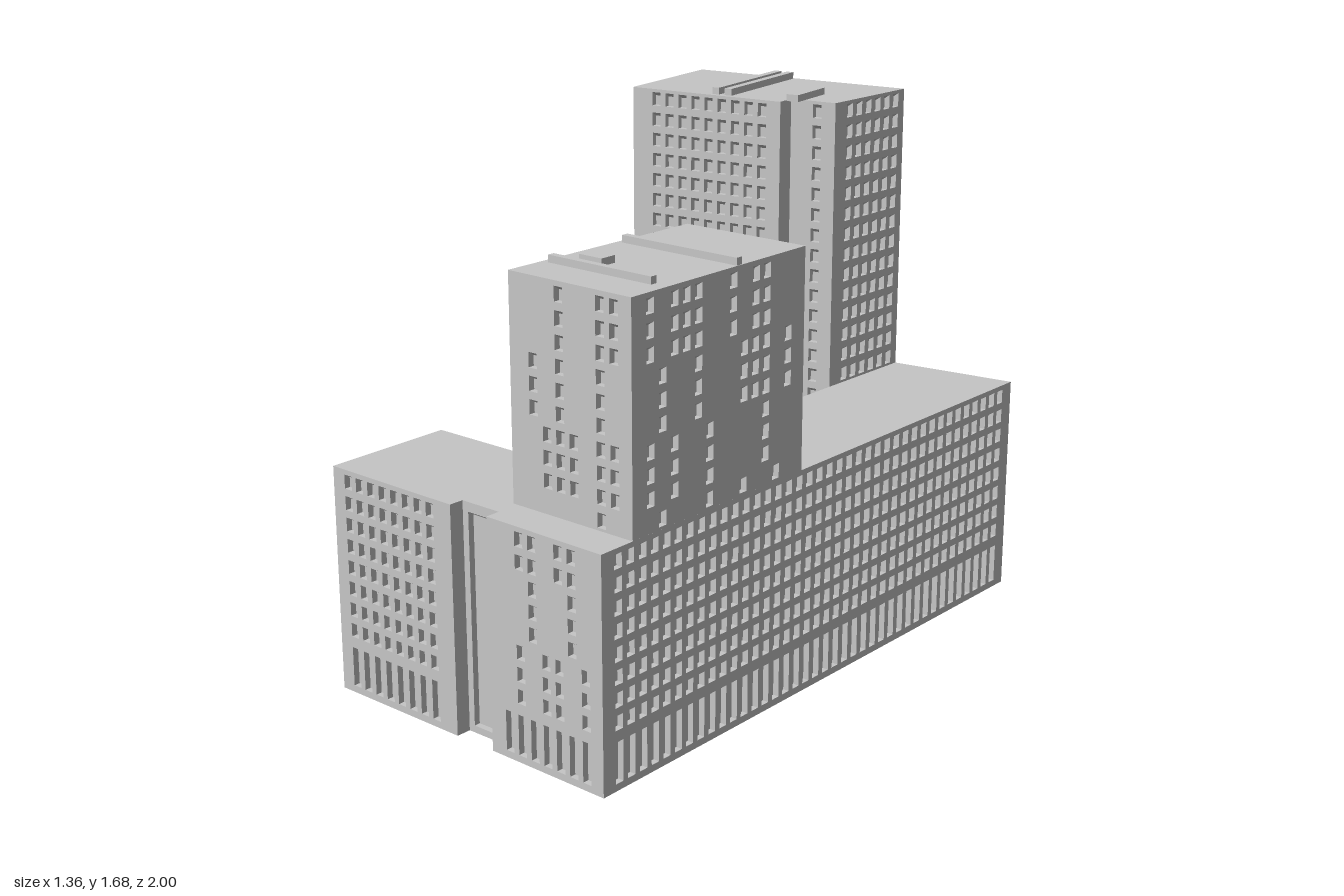
import * as THREE from 'three';

const concrete = new THREE.MeshStandardMaterial({ color: 0xc6c6c6 });
concrete.name = 'concrete grey';

const PODIUM = 0.715, PITCH = 0.0497, FLOOR = 0.0675;
const floorY = (f) => 0.205 + f * FLOOR;

// Recessed opening: pane, sill, sloping lintel and two reveals
function recess(out, [x0, y0, x1, y1]) {
  const d = 0.02, t = y1 - 0.013;
  const quad = (a, b, c, e) => out.push(...a, ...b, ...c, ...a, ...c, ...e);
  quad([x0, y0, -d], [x1, y0, -d], [x1, t, -d], [x0, t, -d]);
  quad([x0, y0, 0], [x1, y0, 0], [x1, y0, -d], [x0, y0, -d]);
  quad([x0, t, -d], [x1, t, -d], [x1, y1, 0], [x0, y1, 0]);
  quad([x0, y0, 0], [x0, y0, -d], [x0, t, -d], [x0, y1, 0]);
  quad([x1, y0, -d], [x1, y0, 0], [x1, y1, 0], [x1, t, -d]);
}

// Flat wall from a to b (seen left to right from outside) with openings cut in
function wall(name, a, b, y0, y1, openings) {
  const dx = b[0] - a[0], dz = b[1] - a[1], len = Math.hypot(dx, dz);
  const shape = new THREE.Shape([[0, y0], [len, y0], [len, y1], [0, y1]].map((p) => new THREE.Vector2(...p)));
  const pos = [];
  for (const r of openings(len)) {
    const [l, bt, rt, tp] = r;
    shape.holes.push(new THREE.Path([[l, bt], [l, tp], [rt, tp], [rt, bt]].map((p) => new THREE.Vector2(...p))));
    recess(pos, r);
  }
  const flat = new THREE.ShapeGeometry(shape).toNonIndexed();
  const geo = new THREE.BufferGeometry();
  geo.setAttribute('position', new THREE.Float32BufferAttribute([...flat.attributes.position.array, ...pos], 3));
  geo.computeVertexNormals();
  const mesh = new THREE.Mesh(geo, concrete);
  mesh.name = name;
  mesh.position.set(a[0], 0, a[1]);
  mesh.rotation.y = Math.atan2(-dz, dx);
  return mesh;
}

// Window grid: n columns over floors f0..f1; keep(floor, column) drops windows
const grid = (n, f0, f1, { shift = 0, keep = () => true, ground = false } = {}) => (len) => {
  const list = [], w = 0.0155;
  for (let c = 0; c < n; c++) {
    const u = len / 2 + shift + (c - (n - 1) / 2) * PITCH;
    if (ground) list.push([u - w, 0.022, u + w, 0.148]);
    for (let f = f0; f <= f1; f++) {
      if (keep(f, c)) list.push([u - w, floorY(f) - 0.022, u + w, floorY(f) + 0.022]);
    }
  }
  return list;
};
const podiumGrid = (n, opts = {}) => grid(n, 0, 7, { ...opts, ground: true });
const blank = () => [];
const tallPanel = (len) => [[len / 2 - 0.05, 0.022, len / 2 + 0.05, 0.685]];
const scattered = (f, c) => (c * 7 + Math.floor((f + 1) / 3) * 5) % 11 < 5;
// Column lists for bands of floors: [first, last, columns]
const bands = (...list) => (f, c) => list.some(([a, b, cols]) => f >= a && f <= b && cols.includes(c));

// Horizontal slab from a footprint, facing up or down
function slab(name, pts, y, up) {
  const shape = new THREE.Shape(pts.map(([x, z]) => new THREE.Vector2(x, up ? -z : z)));
  const mesh = new THREE.Mesh(new THREE.ShapeGeometry(shape), concrete);
  mesh.name = name;
  mesh.rotation.x = up ? -Math.PI / 2 : Math.PI / 2;
  mesh.position.y = y;
  return mesh;
}

// Block made of one wall per footprint edge plus a roof
function block(name, edges, y0, y1) {
  const g = new THREE.Group();
  g.name = name;
  const pts = edges.map((e) => e[0]);
  edges.forEach(([p, label, openings], i) => {
    g.add(wall(label, p, pts[(i + 1) % pts.length], y0, y1, openings));
  });
  g.add(slab(name + ' roof', pts, y1, true), slab(name + ' underside', pts, y0, false));
  return g;
}

function roofBox(name, x, z, w, d, y, h, turn = 0) {
  const mesh = new THREE.Mesh(new THREE.BoxGeometry(w, h, d), concrete);
  mesh.name = name;
  mesh.position.set(x, y + h / 2, z);
  mesh.rotation.y = turn;
  return mesh;
}

export function createModel() {
  const model = new THREE.Group();
  model.name = 'office complex';

  // Low building with three wings around a courtyard
  model.add(block('podium', [
    [[-0.672, 0.837], 'front wing wall', podiumGrid(8, { shift: -0.011 })],
    [[-0.18, 0.912], 'entrance left return', blank],
    [[-0.172, 0.865], 'entrance wall', tallPanel],
    [[-0.03, 0.885], 'entrance right return', blank],
    [[-0.037, 0.933], 'front gable wall', podiumGrid(7, {
      shift: 0.006, keep: bands([6, 7, [1, 2, 4, 5]], [3, 5, [2, 5]], [0, 2, [1, 3, 4, 6]]),
    })],
    [[0.39, 1], 'long street wall', podiumGrid(39)],
    [[0.68, -1], 'back wall', podiumGrid(26)],
    [[-0.68, -0.99], 'back wing end wall', podiumGrid(7, { keep: scattered })],
    [[-0.68, -0.552], 'back wing court wall', podiumGrid(13)],
    [[0.035, -0.56], 'court corner return', blank],
    [[0.035, -0.63], 'court corner wall', podiumGrid(1, { shift: 0.015 })],
    [[0.196, -0.63], 'long court wall', podiumGrid(22)],
    [[0.01, 0.562], 'court entrance wall', tallPanel],
    [[-0.127, 0.54], 'court entrance return', blank],
    [[-0.116, 0.472], 'front wing court wall', podiumGrid(8)],
    [[-0.61, 0.403], 'front wing end wall', podiumGrid(7)],
  ], 0, PODIUM));

  // Tall tower at the back
  const backTop = 1.655;
  model.add(block('back tower', [
    [[-0.52, -0.555], 'back tower front wall', grid(9, 8, 21, { shift: 0.012 })],
    [[0.035, -0.56], 'back tower step', blank],
    [[0.035, -0.63], 'back tower stepped wall', grid(1, 8, 21, { shift: 0.015 })],
    [[0.196, -0.63], 'back tower left wall', grid(6, 8, 21, { shift: 0.015 })],
    [[0.255, -0.997], 'back tower rear wall', grid(14, 8, 21, { keep: scattered })],
    [[-0.52, -0.991], 'back tower right wall', grid(7, 8, 21)],
  ], PODIUM, backTop));
  for (const x of [-0.214, -0.168]) {
    model.add(roofBox('back roof rail', x, -0.78, 0.025, 0.41, backTop, 0.022));
  }
  model.add(roofBox('back roof unit', 0.064, -0.672, 0.043, 0.175, backTop, 0.022));

  // Shorter tower at the front
  const frontTop = 1.39, turn = -0.145;
  model.add(block('front tower', [
    [[-0.034, 0.81], 'front tower front wall', grid(7, 8, 17, {
      shift: 0.012,
      keep: bands([15, 17, [2, 5, 6]], [12, 14, [0, 2, 5]], [9, 11, [1, 2, 3, 5, 6]], [8, 8, [5]]),
    })],
    [[0.408, 0.875], 'front tower left wall', grid(13, 8, 17, {
      keep: bands([15, 17, [0, 2, 3, 4, 7, 9, 10]], [12, 14, [1, 4, 8, 9, 10, 12]],
        [9, 11, [0, 2, 5, 10]], [8, 8, [1, 5, 8, 11]]),
    })],
    [[0.515, 0.138], 'front tower rear wall', grid(7, 8, 17)],
    [[0.085, 0.08], 'front tower right wall', grid(13, 8, 17)],
  ], PODIUM, frontTop));
  model.add(
    roofBox('front roof rail', 0.262, 0.4, 0.42, 0.022, frontTop, 0.022, turn),
    roofBox('front roof rail', 0.197, 0.7, 0.375, 0.022, frontTop, 0.022, turn),
    roofBox('front roof unit', 0.122, 0.61, 0.085, 0.055, frontTop, 0.022, turn),
  );
  return model;
}
